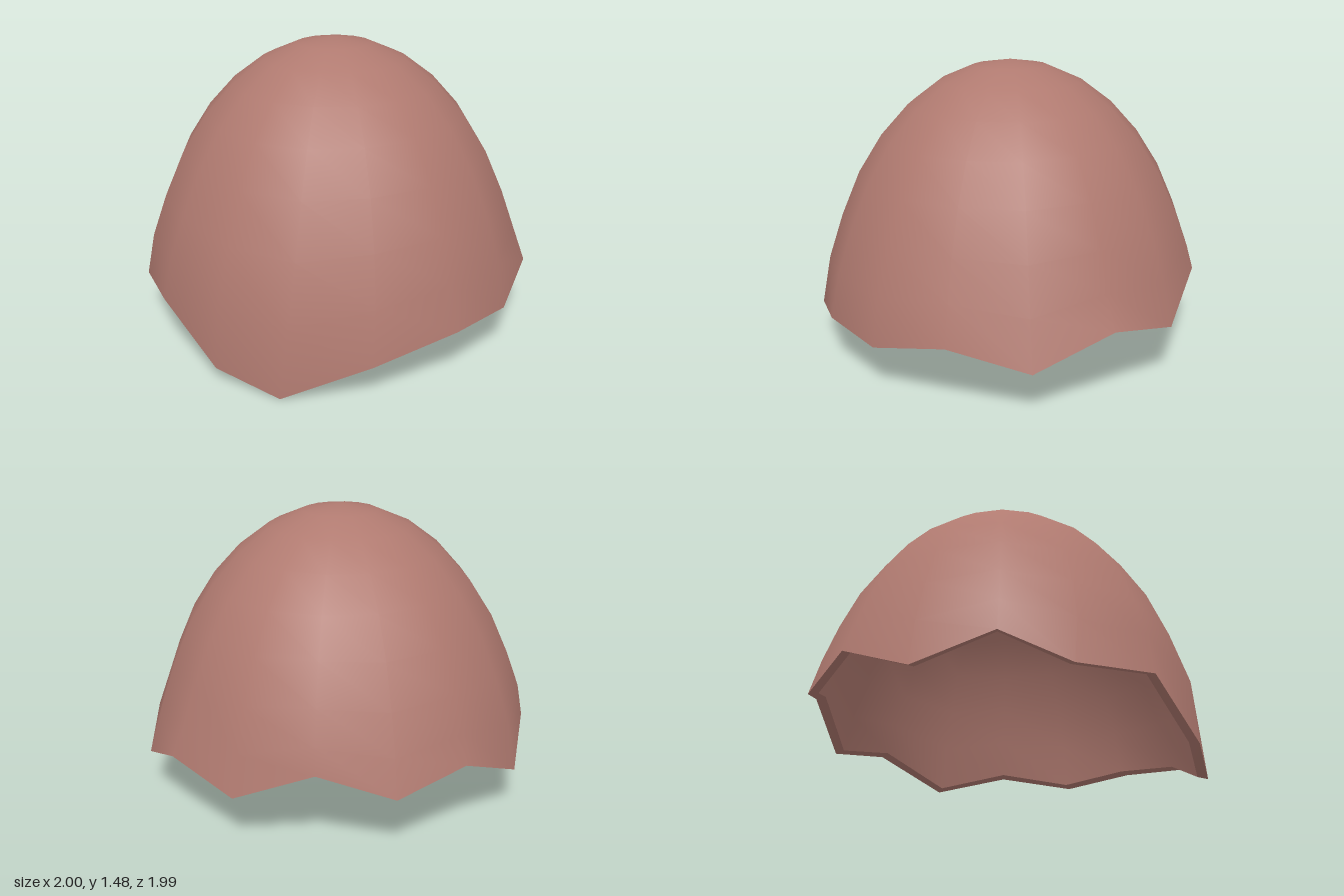
import * as THREE from 'three';
import { mergeVertices } from 'three/addons/utils/BufferGeometryUtils.js';

const SIDES = 16;

// jagged rim corners [x, y, z], counter-clockwise from the front
const RIM = [
  [-0.02, 0.08, 0.99], [0.32, 0.01, 0.95], [0.69, 0.19, 0.74], [0.925, 0.27, 0.38],
  [0.995, 0.25, 0], [0.93, 0.34, -0.4], [0.72, 0.24, -0.73], [0.39, 0.39, -0.94],
  [0, 0.3, -1], [-0.38, 0.465, -0.89], [-0.7, 0.345, -0.71], [-0.9, 0.43, -0.4],
  [-1, 0.25, 0], [-0.9, 0.39, 0.36], [-0.76, 0.245, 0.65], [-0.41, 0.29, 0.9],
];

// dome profile from apex to rim: [radius, height, how far the ring follows the jagged rim]
const PROFILE = [
  [0, 1.49, 0], [0.19, 1.46, 0], [0.365, 1.385, 0], [0.525, 1.265, 0],
  [0.665, 1.11, 0.02], [0.785, 0.92, 0.08], [0.88, 0.7, 0.22], [0.955, 0.48, 0.5],
];

// outer rings; the lower ones lean towards the rim corners
function outerRings() {
  const rings = PROFILE.map(([r, y, w]) => RIM.map(([rx, ry, rz], j) => {
    const even = (j / SIDES) * Math.PI * 2;
    const turn = Math.atan2(rx, rz) - even;
    const a = even + w * Math.atan2(Math.sin(turn), Math.cos(turn));
    const drop = w * (ry - 0.25);
    const radius = r - drop * 0.2;
    return [radius * Math.sin(a), y + drop, radius * Math.cos(a)];
  }));
  rings.push(RIM);
  return rings;
}

// closed skin through successive rings, smooth within the skin
function skin(name, rings, material) {
  const index = [];
  for (let k = 0; k < rings.length - 1; k++) {
    for (let j = 0; j < SIDES; j++) {
      const n = (j + 1) % SIDES;
      const a = k * SIDES + j, b = a + SIDES;
      const c = (k + 1) * SIDES + n, d = k * SIDES + n;
      if (rings[k + 1][0][1] !== rings[k + 1][1][1] || rings[k + 1][0][0] !== rings[k + 1][1][0]) index.push(a, b, c);
      if (rings[k][0][1] !== rings[k][1][1] || rings[k][0][0] !== rings[k][1][0]) index.push(a, c, d);
    }
  }
  let geometry = new THREE.BufferGeometry();
  geometry.setAttribute('position', new THREE.Float32BufferAttribute(rings.flat(2), 3));
  geometry.setIndex(index);
  geometry = mergeVertices(geometry);
  geometry.computeVertexNormals();
  const mesh = new THREE.Mesh(geometry, material);
  mesh.name = name;
  return mesh;
}

export function createModel() {
  const group = new THREE.Group();
  group.name = 'brokenEggshell';
  const material = new THREE.MeshStandardMaterial({ color: 0xb07a70 });

  const outer = outerRings();
  const last = outer.length - 1;
  // inner wall, set in by the shell thickness
  const inner = outer.map((ring, k) => ring.map(([x, y, z]) =>
    [x * 0.95, y + 0.012 - 0.06 * Math.cos((k / last) * Math.PI / 2), z * 0.95]));

  group.add(skin('outerShell', outer, material));
  group.add(skin('brokenRim', [outer[last], inner[last]], material));
  group.add(skin('innerShell', [...inner].reverse(), material));
  return group;
}
